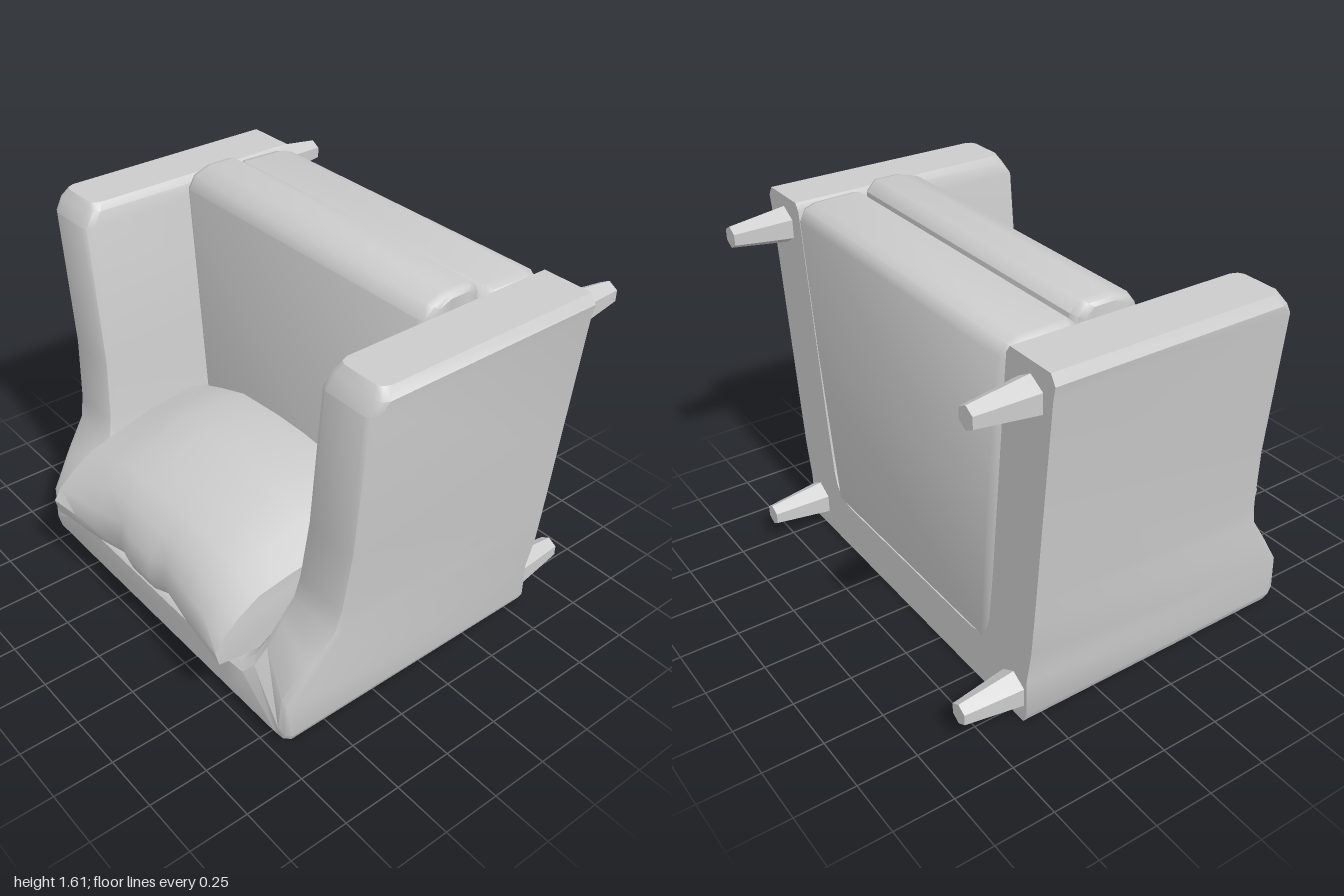
import * as THREE from 'three';
import { toCreasedNormals } from 'three/addons/utils/BufferGeometryUtils.js';

const material = new THREE.MeshStandardMaterial({ color: 0xcccccc });
const lerp = THREE.MathUtils.lerp;

// Piecewise-linear lookup in a list of [position, value]
function sample(table, p) {
  if (p <= table[0][0]) return table[0][1];
  for (let i = 1; i < table.length; i++) {
    const [a, va] = table[i - 1], [b, vb] = table[i];
    if (p <= b) return lerp(va, vb, (p - a) / (b - a));
  }
  return table[table.length - 1][1];
}

// Skin closed rings of [x, y, z] points and cap both ends
function loft(rings, crease = 0.6) {
  const n = rings[0].length, index = [];
  for (let r = 0; r < rings.length - 1; r++) {
    for (let k = 0; k < n; k++) {
      const a = r * n + k, b = r * n + (k + 1) % n;
      index.push(a, b, b + n, a, b + n, a + n);
    }
  }
  const last = (rings.length - 1) * n;
  for (let k = 1; k < n - 1; k++) {
    index.push(0, k + 1, k, last, last + k, last + k + 1);
  }
  // Turn the faces outward if the enclosed volume is negative
  const pts = rings.flat().map(p => new THREE.Vector3(...p));
  let volume = 0;
  for (let i = 0; i < index.length; i += 3) {
    const [a, b, c] = [pts[index[i]], pts[index[i + 1]], pts[index[i + 2]]];
    volume += a.dot(b.clone().cross(c));
  }
  if (volume < 0) index.reverse();
  const geometry = new THREE.BufferGeometry().setFromPoints(pts);
  geometry.setIndex(index);
  return toCreasedNormals(geometry, crease);
}

function add(group, name, geometry) {
  const mesh = new THREE.Mesh(geometry, material);
  mesh.name = name;
  group.add(mesh);
  return mesh;
}

// U-shaped shell: both arms and the base in one sweep
function shellGeometry() {
  const front = [[0, 0.7], [0.05, 0.71], [0.2, 0.71], [0.5, 0.51], [0.6, 0.49],
    [0.86, 0.47], [1.47, 0.47], [1.56, 0.41]];
  // outer x, outer y, inner x, inner y
  const half = [
    [0.5, 0, 0.48, 0.22], [0.83, 0, 0.55, 0.235], [0.85, 0.04, 0.59, 0.28],
    [0.85, 0.2, 0.61, 0.34], [0.88, 0.36, 0.62, 0.42], [0.895, 0.5, 0.63, 0.5],
    [0.905, 0.6, 0.642, 0.6], [0.93, 0.86, 0.668, 0.86], [0.99, 1.47, 0.728, 1.47],
    [1, 1.52, 0.735, 1.53], [0.975, 1.56, 0.755, 1.56]];
  const mirrored = half.map(([a, b, c, d]) => [-a, b, -c, d]).reverse();
  const rings = [...mirrored, ...half].map(([ox, oy, ix, iy]) => {
    const at = (t, inset) => {
      const y = lerp(oy, iy, t);
      return [lerp(ox, ix, t), y, sample(front, y) - inset];
    };
    return [[ox, oy, -0.585], at(0, 0.04), at(0.05, 0.012), at(0.15, 0),
      at(0.85, 0), at(0.95, 0.012), at(1, 0.04), [ix, iy, -0.585]];
  });
  return loft(rings);
}

// Tapered slab: a [z, y] profile run across x, with chamfered ends
function slabGeometry(profile, bottom, top, inset) {
  const zs = profile.map(p => p[0]), ys = profile.map(p => p[1]);
  const z0 = Math.min(...zs), z1 = Math.max(...zs), y0 = Math.min(...ys), y1 = Math.max(...ys);
  const zc = (z0 + z1) / 2, yc = (y0 + y1) / 2;
  const ends = [[0, 1], [0.3, 0.4], [1, 0]];
  const stations = [...ends.map(e => [-1, ...e]), ...ends.reverse().map(e => [1, ...e])];
  return loft(stations.map(([side, dx, shrink]) => profile.map(([z, y]) => {
    const half = lerp(bottom, top, (y - y0) / (y1 - y0));
    const kz = 1 - shrink * inset * 2 / (z1 - z0), ky = 1 - shrink * inset / (y1 - y0);
    return [side * (half - dx * inset), yc + (y - yc) * ky, zc + (z - zc) * kz];
  })), 0.8);
}

// Plump seat cushion: blend a corner profile into a middle profile across x
function seatGeometry() {
  const middle = [[-0.05, 0.7], [0.08, 0.735], [0.3, 0.735], [0.5, 0.665], [0.62, 0.62],
    [0.71, 0.55], [0.765, 0.45], [0.785, 0.36], [0.76, 0.29], [0.67, 0.225], [-0.05, 0.23]];
  const corner = [[-0.05, 0.58], [0.08, 0.62], [0.3, 0.6], [0.5, 0.56], [0.62, 0.53],
    [0.72, 0.47], [0.79, 0.41], [0.825, 0.36], [0.81, 0.295], [0.7, 0.275], [-0.05, 0.28]];
  // x position, share of the middle profile, wrinkle depth
  const half = [[0, 1, 0], [0.08, 1, 0], [0.16, 0.95, 0.018], [0.32, 0.85, 0],
    [0.46, 0.45, 0], [0.6, 0, 0]];
  const mirrored = half.slice(1).map(([x, m, w]) => [-x, m, w]).reverse();
  return loft([...mirrored, ...half].map(([x, m, w]) => middle.map(([zm, ym], i) => {
    const [zc, yc] = corner[i];
    const z = lerp(zc, zm, m);
    const flare = lerp(1.04, 0.975, THREE.MathUtils.clamp(z / 0.65, 0, 1));
    const dent = i >= 6 && i <= 9 ? w : 0;
    return [x * flare, lerp(yc, ym, m) + dent, z - dent];
  })), 0.75);
}

export function createModel() {
  const chair = new THREE.Group();
  chair.name = 'armchair';

  add(chair, 'armsAndBase', shellGeometry());

  // Back panel and the cushion in front of it
  add(chair, 'backPanel', slabGeometry([[-0.56, 0.2], [-0.592, 0.24], [-0.6, 0.9], [-0.598, 1.5],
    [-0.57, 1.545], [-0.52, 1.56], [-0.32, 1.565], [-0.28, 1.53], [-0.28, 0.2]], 0.6, 0.755, 0.05));
  add(chair, 'backCushion', slabGeometry([[-0.295, 0.3], [-0.295, 1.565], [-0.25, 1.605],
    [-0.13, 1.605], [-0.05, 1.58], [-0.01, 1.53], [-0.005, 0.3]], 0.61, 0.73, 0.04));

  add(chair, 'seatCushion', seatGeometry());

  // Tapered six-sided legs on the rear face
  const legGeometry = new THREE.CylinderGeometry(0.046, 0.08, 0.25, 6).toNonIndexed();
  legGeometry.rotateX(-Math.PI / 2);
  legGeometry.computeVertexNormals();
  for (const side of [-1, 1]) {
    for (const [name, x, y] of [['upperLeg', 0.868, 1.432], ['lowerLeg', 0.768, 0.122]]) {
      add(chair, name, legGeometry).position.set(side * x, y, -0.705);
    }
  }
  return chair;
}
